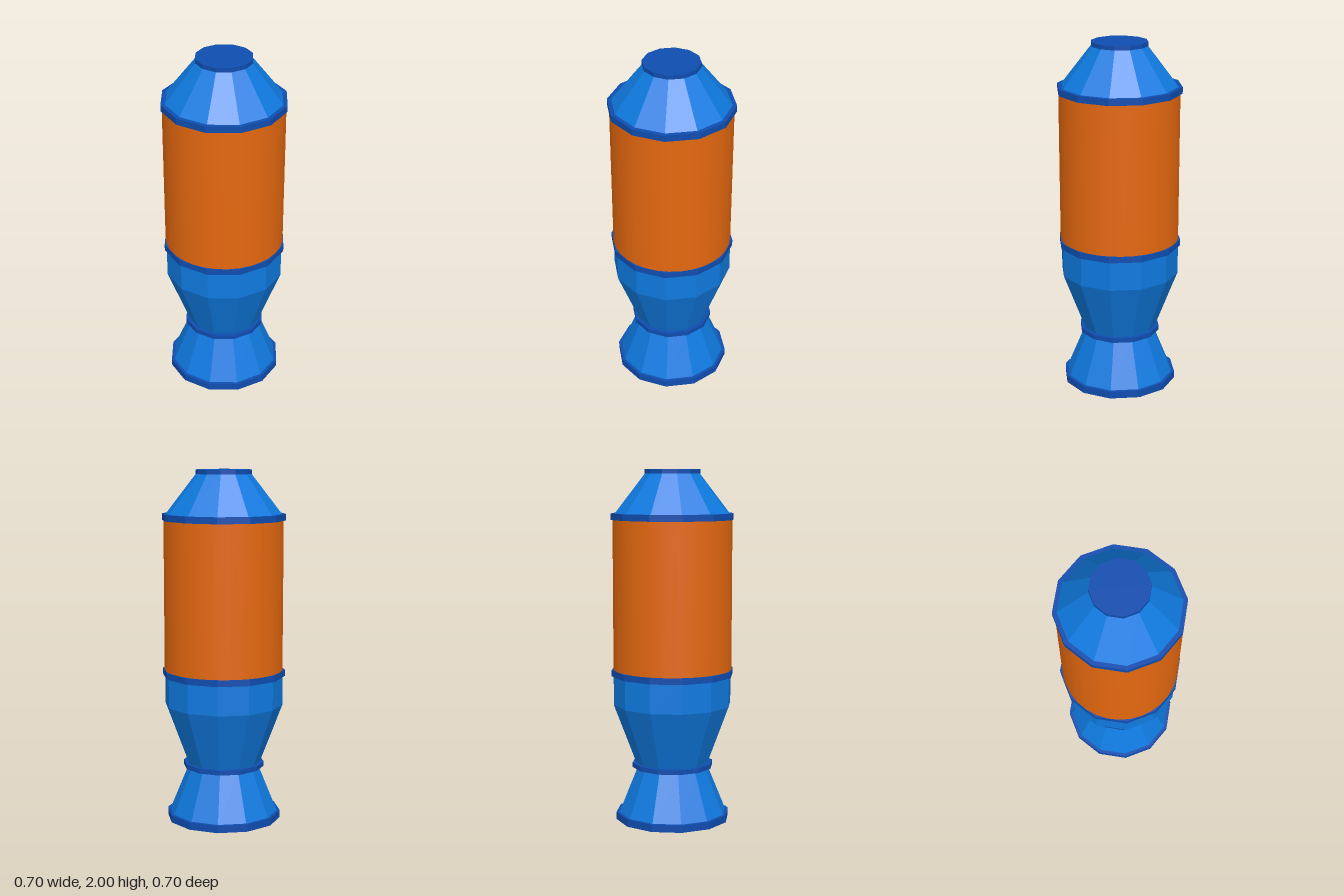
import * as THREE from 'three';

export function createModel() {
  const group = new THREE.Group();
  group.name = 'lavaLamp';

  const material = (name, color) => {
    const m = new THREE.MeshStandardMaterial({ color });
    m.name = name;
    return m;
  };
  const blue = material('blue metal', 0x0f7ae0);
  const darkBlue = material('dark blue trim', 0x0f4db0);
  const orange = material('orange liquid', 0xe5680f);

  // Faceted twelve-sided section from y0 (radius r0) to y1 (radius r1)
  function section(name, mat, y0, r0, y1, r1, open = false) {
    const geo = new THREE.CylinderGeometry(r1, r0, y1 - y0, 12, 1, open).toNonIndexed();
    geo.computeVertexNormals();
    const mesh = new THREE.Mesh(geo, mat);
    mesh.name = name;
    mesh.position.y = (y0 + y1) / 2;
    group.add(mesh);
  }

  // Metal body
  section('baseCone', blue, 0.04, 0.31, 0.31, 0.2, true);
  section('cupCone', blue, 0.33, 0.21, 0.67, 0.338, true);
  section('cupWall', blue, 0.67, 0.338, 0.84, 0.338, true);
  section('topCone', blue, 1.755, 0.327, 1.98, 0.153, true);

  // Trim rings and end caps
  section('baseRing', darkBlue, 0, 0.327, 0.042, 0.327);
  section('waistRing', darkBlue, 0.305, 0.232, 0.332, 0.232);
  section('lowerGlassRing', darkBlue, 0.837, 0.35, 0.873, 0.35);
  section('upperGlassRing', darkBlue, 1.72, 0.35, 1.756, 0.35);
  section('topCap', darkBlue, 1.976, 0.158, 2, 0.158);

  // Smooth liquid column
  const liquid = new THREE.Mesh(new THREE.CylinderGeometry(0.337, 0.337, 0.855, 32, 1, true), orange);
  liquid.name = 'liquidColumn';
  liquid.position.y = 1.2965;
  group.add(liquid);

  return group;
}
